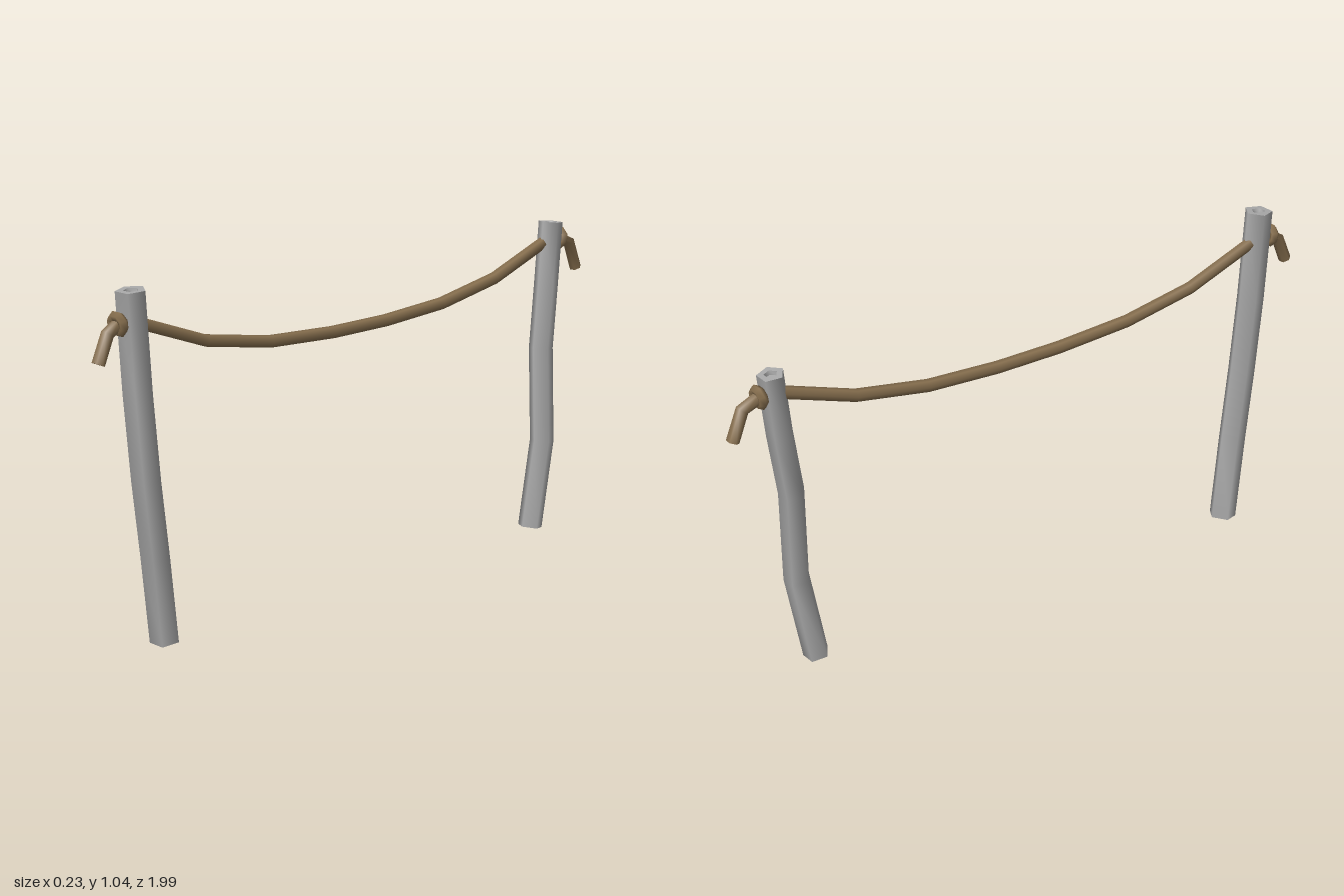
import * as THREE from 'three';
import { mergeGeometries } from 'three/addons/utils/BufferGeometryUtils.js';

// Skin a list of rings { c: centre, t: axis, r: radius } with smooth normals
function loft(rings, sides, phase) {
  const pos = [], index = [];
  rings.forEach(({ c, t, r }, i) => {
    const u = new THREE.Vector3(1, 0, 0).addScaledVector(t, -t.x).normalize();
    const w = t.clone().cross(u);
    for (let j = 0; j < sides; j++) {
      const a = phase + (j / sides) * Math.PI * 2;
      const p = c.clone().addScaledVector(u, r * Math.cos(a)).addScaledVector(w, r * Math.sin(a));
      pos.push(p.x, p.y, p.z);
      if (i === 0) continue;
      const k = (j + 1) % sides, lo = (i - 1) * sides, hi = i * sides;
      index.push(lo + j, lo + k, hi + j, lo + k, hi + k, hi + j);
    }
  });
  const g = new THREE.BufferGeometry();
  g.setAttribute('position', new THREE.Float32BufferAttribute(pos, 3));
  g.setIndex(index);
  g.computeVertexNormals();
  return g;
}

// Capped pole along a path; well > 0 sinks a small hollow into the top end
function pole(points, radius, sides, phase, well = 0) {
  const pts = points.map((p) => new THREE.Vector3(...p));
  const last = pts.length - 1;
  const rings = pts.map((c, i) => ({
    c, r: radius,
    t: pts[Math.min(i + 1, last)].clone().sub(pts[Math.max(i - 1, 0)]).normalize(),
  }));
  const at = (ring, r, drop = 0) => ({ c: ring.c.clone().addScaledVector(ring.t, -drop), t: ring.t, r });
  const end = rings[last];
  const bands = [rings, [at(rings[0], 0), rings[0]]];
  if (well) {
    const inner = radius * 0.5;
    bands.push([end, at(end, inner)], [at(end, inner), at(end, inner * 0.85, well)],
      [at(end, inner * 0.85, well), at(end, 0, well)]);
  } else bands.push([end, at(end, 0)]);
  return mergeGeometries(bands.map((b) => loft(b, sides, phase)));
}

export function createModel() {
  const group = new THREE.Group();
  const wood = new THREE.MeshStandardMaterial({ color: 0xa9a9a9 });
  wood.name = 'grey post';
  const hemp = new THREE.MeshStandardMaterial({ color: 0x88704f });
  hemp.name = 'brown rope';
  const add = (name, geometry, material) => {
    const mesh = new THREE.Mesh(geometry, material);
    mesh.name = name;
    group.add(mesh);
    return mesh;
  };

  // Slightly crooked, leaning posts
  add('frontPost', pole([[-0.074, 0.006, 0.752], [-0.062, 0.27, 0.79], [-0.053, 0.5, 0.825],
    [-0.056, 0.75, 0.845], [-0.054, 1.04, 0.865]], 0.044, 5, Math.PI / 2, 0.012), wood);
  add('backPost', pole([[0.075, 0.02, -0.73], [0.078, 0.3, -0.78], [0.055, 0.6, -0.795],
    [0.045, 0.8, -0.828], [0.042, 1.0, -0.85]], 0.04, 5, -Math.PI / 2, 0.012), wood);

  // Sagging rope passing through both posts, with hanging tails
  const ropeX = (z) => -0.01 - 0.058 * z;
  const path = [[0.978, 0.852], [0.944, 0.93], [0.9, 0.955], [0.84, 0.945], [0.6, 0.855],
    [0.36, 0.812], [0.11, 0.798], [-0.11, 0.798], [-0.35, 0.812], [-0.59, 0.855],
    [-0.83, 0.94], [-0.89, 0.943], [-0.945, 0.92], [-0.98, 0.833]];
  add('rope', pole(path.map(([z, y]) => [ropeX(z), y, z]), 0.019, 6, 0), hemp);

  // Stopper knots outside the posts
  for (const [name, y, z, tilt] of [['frontKnot', 0.952, 0.908, 0.15], ['backKnot', 0.943, -0.892, -0.15]]) {
    const knot = add(name, new THREE.TorusGeometry(0.023, 0.015, 5, 8), hemp);
    knot.position.set(ropeX(z), y, z);
    knot.rotation.set(tilt, 0, Math.PI / 8);
  }
  return group;
}
